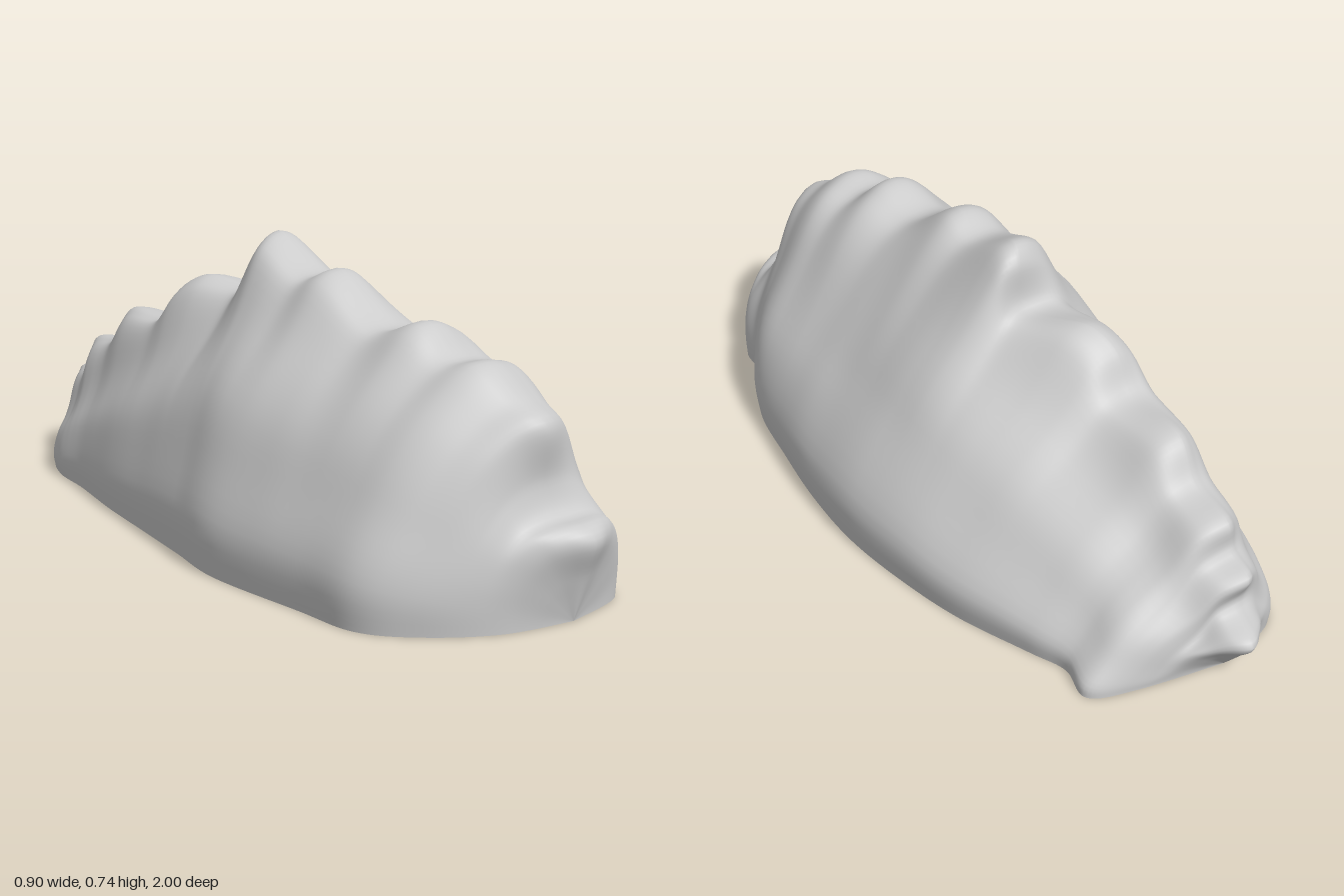
import * as THREE from 'three';

const V2 = (p) => new THREE.Vector2(p[0], p[1]);
const curve2 = (pts) => new THREE.SplineCurve(pts.map(V2));
const { lerp, smoothstep } = THREE.MathUtils;

// Knobbly crest, front foot to back foot: [x, y, z]
const crest = new THREE.CatmullRomCurve3([
  [0, 0.01, 0.94], [0, 0.12, 0.97], [0, 0.21, 1], [0, 0.24, 0.97], [-0.01, 0.25, 0.91],
  [-0.03, 0.32, 0.88], [-0.05, 0.46, 0.89], [-0.06, 0.5, 0.82], [-0.07, 0.57, 0.72], [-0.07, 0.56, 0.63],
  [-0.07, 0.63, 0.53], [-0.06, 0.59, 0.39], [-0.05, 0.7, 0.2], [-0.03, 0.67, 0.1], [-0.01, 0.75, -0.08],
  [0.01, 0.72, -0.12], [0, 0.6, -0.14], [-0.06, 0.61, -0.31], [-0.08, 0.57, -0.38], [-0.08, 0.48, -0.44],
  [-0.07, 0.47, -0.63], [-0.06, 0.38, -0.7], [-0.05, 0.35, -0.83], [-0.05, 0.28, -0.84], [-0.04, 0.25, -0.92],
  [-0.02, 0.18, -0.9], [0.01, 0.13, -1], [0.01, 0.08, -0.96], [0, 0.01, -0.9],
].map((p) => new THREE.Vector3(...p)));

// Foot outlines on the ground, front to back: [x, z]
const footRight = curve2([[0, 0.94], [-0.18, 0.9], [-0.33, 0.8], [-0.42, 0.68], [-0.43, 0.5], [-0.44, 0.2],
  [-0.4, 0], [-0.36, -0.2], [-0.32, -0.4], [-0.27, -0.6], [-0.24, -0.75], [-0.17, -0.86], [0, -0.9]]);
const footLeft = curve2([[0, 0.94], [0.19, 0.89], [0.23, 0.76], [0.33, 0.6], [0.38, 0.4], [0.42, 0.2],
  [0.44, 0], [0.43, -0.2], [0.4, -0.4], [0.34, -0.6], [0.31, -0.7], [0.33, -0.8], [0.22, -0.85], [0, -0.9]]);

// Normalised flank shapes from crest to foot: [outward, height]
const peaked = curve2([[0, 1], [0.1, 0.985], [0.22, 0.925], [0.42, 0.75], [0.67, 0.57], [0.85, 0.4], [1.01, 0.18], [1, 0]]);
const full = curve2([[0, 1], [0.15, 0.995], [0.34, 0.96], [0.58, 0.83], [0.83, 0.6], [0.97, 0.38], [1.02, 0.18], [1, 0]]);
const flared = curve2([[0, 1], [0.12, 0.98], [0.25, 0.9], [0.43, 0.7], [0.64, 0.48], [0.82, 0.28], [0.97, 0.1], [1, 0]]);
const upright = curve2([[0, 1], [0.2, 1], [0.42, 0.98], [0.66, 0.92], [0.86, 0.75], [0.97, 0.48], [1, 0.22], [1, 0]]);

// Crest averaged over a window, which leaves out the knobs
function smoothCrest(u) {
  const w = Math.min(0.07, u, 1 - u), sum = new THREE.Vector3();
  for (let k = -4; k <= 4; k++) sum.add(crest.getPointAt(THREE.MathUtils.clamp(u + (w * k) / 4, 0, 1)));
  return sum.divideScalar(9);
}

// Flank shape: upright lips at the ends, rounded front, low spur at the back left
function flank(side, u, s) {
  const blunt = side < 0 ? lerp(0.65, 0.25, u) : lerp(0.8, 0, smoothstep(u, 0.15, 0.48));
  const spur = side < 0 ? 0 : smoothstep(u, 0.72, 0.9);
  const lip = Math.max(1 - smoothstep(u, 0.06, 0.17), smoothstep(u, 0.91, 0.97));
  return peaked.getPoint(s)
    .lerp(full.getPoint(s), blunt)
    .lerp(flared.getPoint(s), spur)
    .lerp(upright.getPoint(s), lip);
}

function rockShell() {
  const rows = 220, half = 30, cols = 2 * half + 1;
  const pos = [], index = [];
  for (let i = 0; i <= rows; i++) {
    const u = i / rows;
    const top = crest.getPointAt(u), mid = smoothCrest(u);
    const body = smoothstep(u, 0.05, 0.25) * (1 - smoothstep(u, 0.85, 1));
    // knobs are narrow on the body and broad at both ends
    const reach = lerp(0.8, 0.42, body);
    for (let j = 0; j < cols; j++) {
      const side = Math.sign(j - half), s = Math.abs(j - half) / half;
      const foot = (side < 0 ? footRight : footLeft).getPointAt(u);
      const f = flank(side, u, s);
      const knob = Math.exp(-((s / reach) ** 2));
      const c = mid.clone().lerp(top, knob);
      // soft lengthwise folds on the flanks
      const fold = body * Math.sin(Math.PI * s) ** 2 * 0.006 * Math.sin(15 * s + 3 * c.z + side);
      pos.push(
        c.x + (foot.x - c.x) * f.x + side * fold,
        0.01 + (c.y - 0.01) * f.y + fold,
        lerp(c.z, foot.y, smoothstep(s, 0, 1)),
      );
      if (i < rows && j < cols - 1) {
        const a = i * cols + j, b = a + cols;
        index.push(a, a + 1, b, a + 1, b + 1, b);
      }
    }
  }
  const geo = new THREE.BufferGeometry();
  geo.setAttribute('position', new THREE.Float32BufferAttribute(pos, 3));
  geo.setIndex(index);
  geo.computeVertexNormals();
  return geo;
}

export function createModel() {
  const group = new THREE.Group();
  group.name = 'rock';
  // Hollow shell, open underneath
  const shell = new THREE.Mesh(
    rockShell(),
    new THREE.MeshStandardMaterial({ color: 0xcccccc, side: THREE.DoubleSide }),
  );
  shell.name = 'rockShell';
  group.add(shell);
  return group;
}
